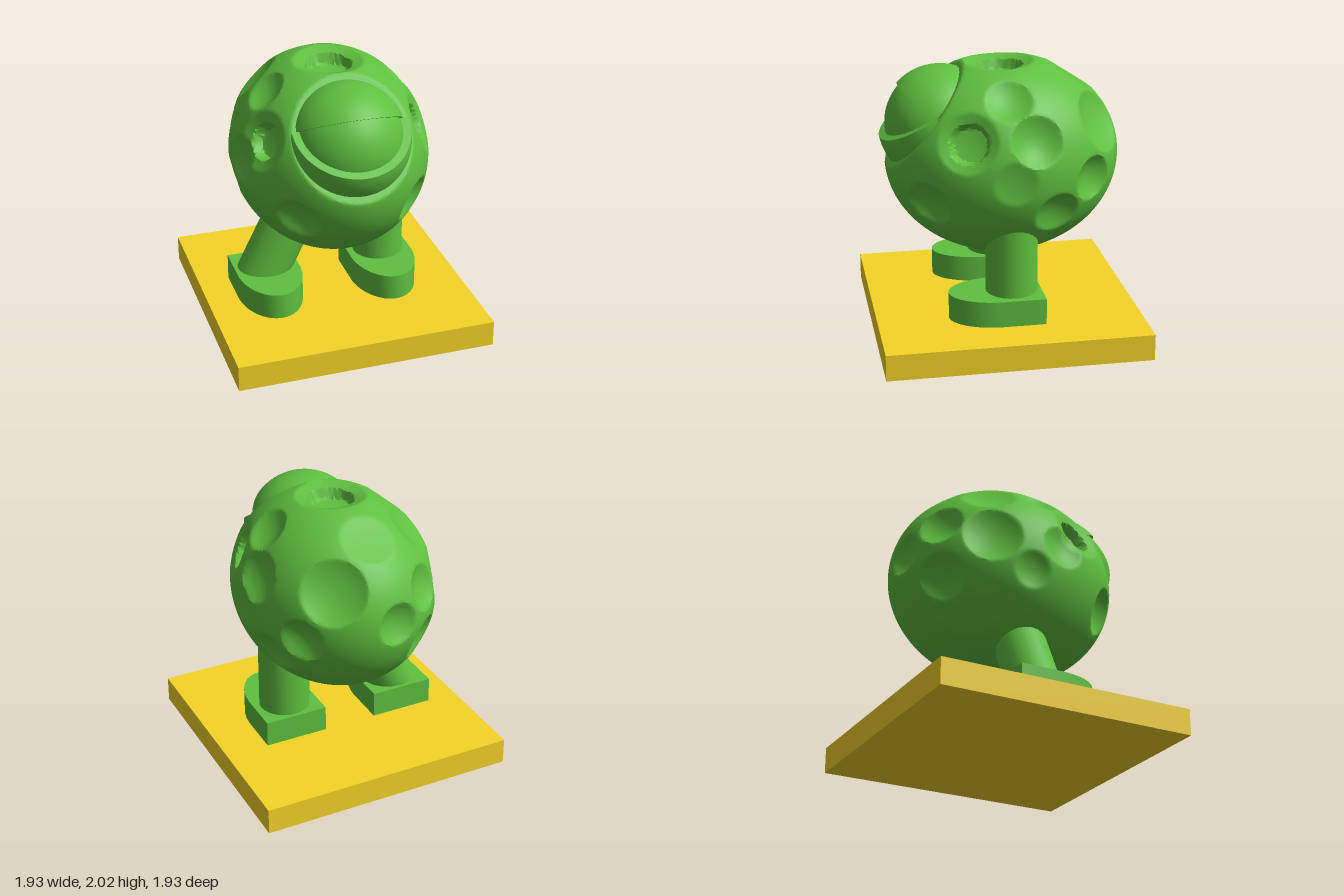
import * as THREE from 'three';
import { mergeVertices, toCreasedNormals } from 'three/addons/utils/BufferGeometryUtils.js';

const green = new THREE.MeshStandardMaterial({ color: 0x5fc03f });
const greenThin = new THREE.MeshStandardMaterial({ color: 0x5fc03f, side: THREE.DoubleSide });
const yellow = new THREE.MeshStandardMaterial({ color: 0xf5d427 });

const CENTER = new THREE.Vector3(0, 1.32, -0.02);
const RADII = new THREE.Vector3(0.72, 0.73, 0.86);
const EYE = { y: 1.57, z: 0.43 };              // centre of the eyeball
const HINGE = { y: 1.72, z: 0.5 };             // corners of the eyelids
const FACING = new THREE.Vector3(0, 0.61, 0.79); // way the eye looks

// Craters: direction from the body centre, radius, depth
const CRATERS = [
  [0.65, 0.26, -0.14, 0.19, 0.08], [0.48, 0.51, 0.03, 0.17, 0.06],
  [0.33, 0.31, -0.68, 0.24, 0.09], [0.53, -0.07, -0.58, 0.17, 0.08],
  [0.62, -0.29, -0.3, 0.17, 0.06], [0.72, -0.02, 0.02, 0.16, 0.03],
  [0.46, -0.22, 0.6, 0.18, 0.08], [-0.41, -0.22, 0.62, 0.18, 0.08],
  [-0.1, 0.04, -0.85, 0.16, 0.07], [-0.38, 0.19, -0.68, 0.17, 0.07],
  [-0.63, 0.08, -0.39, 0.22, 0.08], [-0.39, -0.23, -0.68, 0.18, 0.07],
  [-0.44, 0.47, -0.32, 0.2, 0.05], [-0.02, 0.56, -0.5, 0.2, 0.03],
  [-0.47, 0.52, 0.06, 0.16, 0.06], [-0.7, -0.17, -0.1, 0.14, 0.04],
  [-0.7, 0.07, 0.15, 0.17, 0.06],
];
// Craters with a round, flat-bottomed hole: as above, then hole radius
const HOLES = [
  [0, 0.73, 0.02, 0.26, 0.09, 0.16],
  [0.6, 0.26, 0.34, 0.22, 0.06, 0.13],
  [-0.6, 0.28, 0.34, 0.22, 0.06, 0.12],
];

function onBody(x, y, z) {
  const p = new THREE.Vector3(x, y, z);
  return p.divideScalar(p.clone().divide(RADII).length());
}

// Ellipsoid with craters pushed in and a flat seat for the eye
function bodyGeometry() {
  let geo = new THREE.IcosahedronGeometry(1, 46);
  geo.deleteAttribute('normal');
  geo.deleteAttribute('uv');
  geo = mergeVertices(geo, 1e-4);
  const dents = [...CRATERS, ...HOLES].map(([x, y, z, r, depth, hole = 0]) => {
    const c = onBody(x, y, z);
    return { c, r, depth, hole, n: c.clone().divide(RADII).divide(RADII).normalize() };
  });
  const seat = FACING.dot(new THREE.Vector3(0, HINGE.y, HINGE.z).sub(CENTER)) - 0.01;
  const pos = geo.attributes.position;
  const p = new THREE.Vector3(), q = new THREE.Vector3();
  for (let i = 0; i < pos.count; i++) {
    p.fromBufferAttribute(pos, i).normalize().multiply(RADII);
    q.copy(p);
    for (const { c, r, depth, hole, n } of dents) {
      const d = p.distanceTo(c);
      if (d < r) q.addScaledVector(n, -depth * (1 - (d / r) ** 2));
      if (hole) q.addScaledVector(n, -0.07 * (1 - THREE.MathUtils.smoothstep(d, hole - 0.01, hole + 0.015)));
    }
    const over = FACING.dot(q) - seat;
    if (over > 0) q.addScaledVector(FACING, -over);
    pos.setXYZ(i, q.x, q.y, q.z);
  }
  return toCreasedNormals(geo, 0.6);
}

// Part of a sphere swept round the line between the eye corners, with a rim
function lidGeometry(from, to, radius, inner) {
  const rows = [[from, inner]], n = 16, m = 32;
  for (let i = 0; i <= n; i++) rows.push([from + (to - from) * i / n, radius]);
  const points = [], index = [];
  rows.forEach(([deg, R], i) => {
    const a = THREE.MathUtils.degToRad(deg), cz = Math.cos(a), cy = Math.sin(a);
    const dz = EYE.z - HINGE.z, dy = EYE.y - HINGE.y;
    const along = dz * cz + dy * cy, off = dy * cz - dz * cy;
    const r = Math.sqrt(R * R - off * off), end = Math.acos(-along / r);
    for (let j = 0; j <= m; j++) {
      const t = end * (2 * j / m - 1), s = along + r * Math.cos(t);
      points.push(r * Math.sin(t), HINGE.y + s * cy, HINGE.z + s * cz);
      if (i < rows.length - 1 && j < m) {
        const k = i * (m + 1) + j, l = k + m + 1;
        if (from < to) index.push(k, k + 1, l, k + 1, l + 1, l);
        else index.push(k, l, k + 1, k + 1, l, l + 1);
      }
    }
  });
  const geo = new THREE.BufferGeometry();
  geo.setAttribute('position', new THREE.Float32BufferAttribute(points, 3));
  geo.setIndex(index);
  return toCreasedNormals(geo, 0.7);
}

// Shoe-shaped block: square heel, rounded toe pointing forward
function footGeometry() {
  const s = new THREE.Shape();
  s.moveTo(-0.24, 0.24);
  s.lineTo(0.24, 0.24);
  s.lineTo(0.24, -0.1);
  s.bezierCurveTo(0.23, -0.28, 0.13, -0.44, 0, -0.44);
  s.bezierCurveTo(-0.13, -0.44, -0.23, -0.28, -0.24, -0.1);
  const geo = new THREE.ExtrudeGeometry(s, { depth: 0.2, bevelEnabled: false, curveSegments: 8 });
  geo.rotateX(-Math.PI / 2);
  return toCreasedNormals(geo, 0.6);
}

function legGeometry(a, b, radius) {
  const dir = b.clone().sub(a);
  const geo = new THREE.CylinderGeometry(radius, radius, dir.length(), 24);
  geo.applyQuaternion(new THREE.Quaternion().setFromUnitVectors(new THREE.Vector3(0, 1, 0), dir.normalize()));
  const mid = a.clone().add(b).multiplyScalar(0.5);
  return geo.translate(mid.x, mid.y, mid.z);
}

export function createModel() {
  const model = new THREE.Group();
  const add = (name, geo, mat, x = 0, y = 0, z = 0) => {
    const mesh = new THREE.Mesh(geo, mat);
    mesh.name = name;
    mesh.position.set(x, y, z);
    model.add(mesh);
    return mesh;
  };

  add('base', new THREE.BoxGeometry(1.93, 0.195, 1.93), yellow, 0, 0.0975, 0);
  add('body', bodyGeometry(), green, CENTER.x, CENTER.y, CENTER.z);

  // Eye with upper and lower lid
  add('eyeball', new THREE.SphereGeometry(0.405, 40, 28), green, 0, EYE.y, EYE.z);
  add('upperLid', lidGeometry(31, 140, 0.425, 0.39), greenThin);
  add('lowerLid', lidGeometry(-32, -75, 0.455, 0.39), greenThin);

  // Left leg upright, right leg slanting outwards
  const legs = [['left', 0.4, 0.4, 0.4], ['right', -0.49, -0.535, -0.2]];
  for (const [side, footX, bottomX, topX] of legs) {
    add(side + 'Foot', footGeometry(), green, footX, 0.19, 0);
    add(side + 'Leg', legGeometry(
      new THREE.Vector3(bottomX, 0.3, -0.025), new THREE.Vector3(topX, 0.97, -0.025), 0.19), green);
  }
  return model;
}
